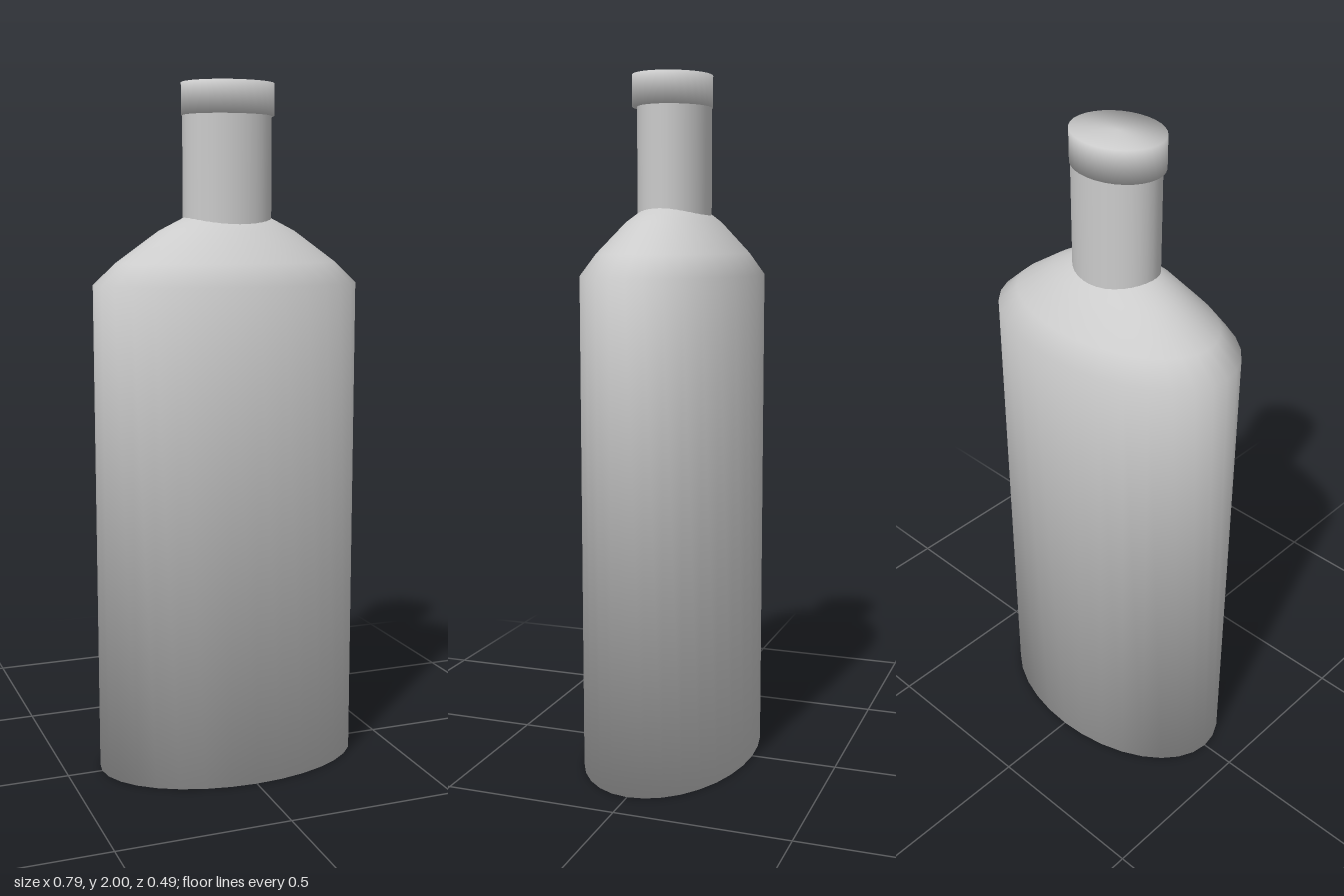
import * as THREE from 'three';

const SIDES = 32;

// Oval turned part: profile of [radius, y] from bottom to top, rounded shading across its edges
function ovalTurned(name, profile, depthRatio, side = THREE.FrontSide) {
  const points = profile.map(([r, y]) => new THREE.Vector2(r, y));
  const geometry = new THREE.LatheGeometry(points, SIDES);

  // Outward normal of each profile step, then an even blend at each profile point
  const steps = points.slice(1).map((p, i) =>
    new THREE.Vector2(p.y - points[i].y, points[i].x - p.x).normalize());
  const blended = points.map((p, i) => {
    if (p.x === 0) return new THREE.Vector2(0, i === 0 ? -1 : 1);
    const before = steps[Math.max(i - 1, 0)];
    const after = steps[Math.min(i, steps.length - 1)];
    return before.clone().add(after).normalize();
  });
  for (let i = 0; i <= SIDES; i++) {
    const a = (i / SIDES) * Math.PI * 2;
    blended.forEach((n, j) => geometry.attributes.normal.setXYZ(
      i * points.length + j, n.x * Math.sin(a), n.y, n.x * Math.cos(a)));
  }

  geometry.scale(1, 1, depthRatio);
  const mesh = new THREE.Mesh(geometry, new THREE.MeshStandardMaterial({ color: 0xcccccc, side }));
  mesh.name = name;
  return mesh;
}

export function createModel() {
  const bottle = new THREE.Group();
  bottle.name = 'bottle';

  // Flat base, straight walls and sloping shoulder
  const body = ovalTurned('body', [
    [0, 0], [0.397, 0], [0.397, 1.435], [0.33, 1.497],
    [0.205, 1.586], [0.13, 1.624], [0, 1.65],
  ], 0.247 / 0.397);

  // Neck tube, sunk into the shoulder and running up inside the cap
  const neck = ovalTurned('neck', [[0.131, 1.58], [0.131, 1.97]], 0.104 / 0.131, THREE.DoubleSide);

  // Cap, set slightly forward of the neck
  const cap = ovalTurned('cap', [[0, 1.91], [0.136, 1.91], [0.136, 2], [0, 2]], 0.113 / 0.136);
  cap.position.z = 0.006;

  bottle.add(body, neck, cap);
  return bottle;
}
